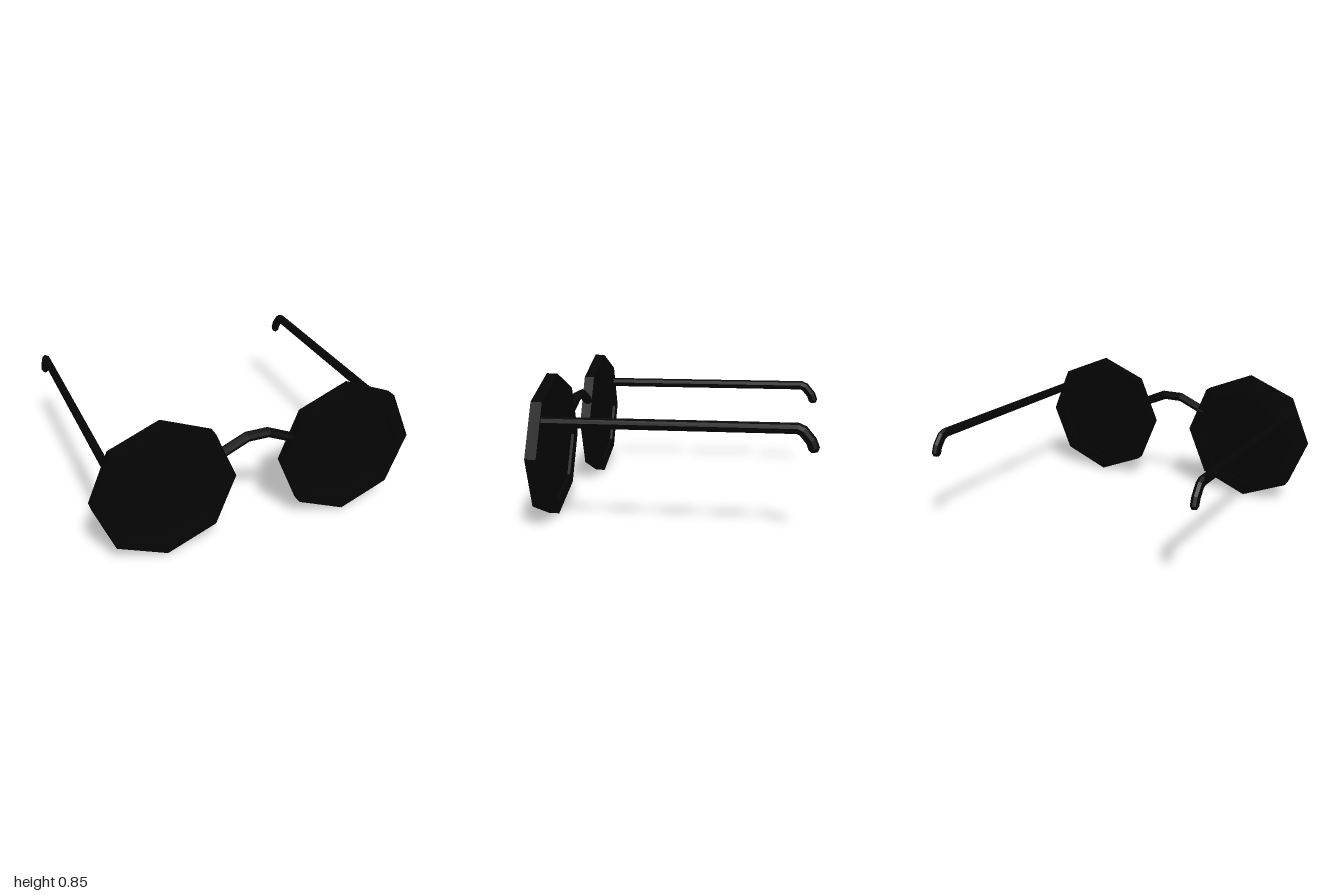
import * as THREE from 'three';

const material = new THREE.MeshStandardMaterial({ color: 0x050505, flatShading: true });

// Octagon with its corners on the axes
function octagon(radius, Type = THREE.Shape) {
  const points = [];
  for (let i = 0; i < 8; i++) {
    const a = (i * Math.PI) / 4;
    points.push(new THREE.Vector2(radius * Math.cos(a), radius * Math.sin(a)));
  }
  return new Type(points);
}

// Extruded shape centred on its own z
function slab(name, shape, depth) {
  const geometry = new THREE.ExtrudeGeometry(shape, { depth, bevelEnabled: false });
  geometry.translate(0, 0, -depth / 2);
  const mesh = new THREE.Mesh(geometry, material);
  mesh.name = name;
  return mesh;
}

// Mitred bar along a planar path; side is the normal of the path's plane.
// Each path entry is [x, y, z, scale]
function bar(name, path, side, halfWidth, halfHeight, sides = 8) {
  const pts = path.map((p) => new THREE.Vector3(p[0], p[1], p[2]));
  const positions = [];
  const index = [];
  pts.forEach((p, i) => {
    const before = p.clone().sub(pts[Math.max(i - 1, 0)]).normalize();
    const after = pts[Math.min(i + 1, pts.length - 1)].clone().sub(p).normalize();
    const tangent = before.clone().add(after).normalize();
    const mitre = 1 / Math.max(tangent.dot(i ? before : after), 0.5);
    const normal = tangent.clone().cross(side);
    const scale = path[i][3] ?? 1;
    for (let j = 0; j < sides; j++) {
      const a = (j / sides) * Math.PI * 2;
      const v = p.clone()
        .addScaledVector(side, halfWidth * scale * Math.cos(a))
        .addScaledVector(normal, halfHeight * scale * mitre * Math.sin(a));
      positions.push(v.x, v.y, v.z);
    }
  });
  const last = (pts.length - 1) * sides;
  for (let i = 0; i < last; i += sides) {
    for (let j = 0; j < sides; j++) {
      const a = i + j;
      const b = i + ((j + 1) % sides);
      index.push(a, b, b + sides, a, b + sides, a + sides);
    }
  }
  for (let j = 1; j < sides - 1; j++) {
    index.push(0, j + 1, j, last, last + j, last + j + 1);
  }
  const indexed = new THREE.BufferGeometry();
  indexed.setAttribute('position', new THREE.Float32BufferAttribute(positions, 3));
  indexed.setIndex(index);
  const geometry = indexed.toNonIndexed();
  geometry.computeVertexNormals();
  const mesh = new THREE.Mesh(geometry, material);
  mesh.name = name;
  return mesh;
}

export function createModel() {
  const group = new THREE.Group();
  group.name = 'sunglasses';

  for (const s of [-1, 1]) {
    const label = s > 0 ? 'left' : 'right';

    // Rim and lens, leaning slightly back
    const eyepiece = new THREE.Group();
    eyepiece.name = label + 'Eyepiece';
    const rimShape = octagon(0.426);
    rimShape.holes.push(octagon(0.34, THREE.Path));
    eyepiece.add(slab(label + 'Rim', rimShape, 0.065));
    eyepiece.add(slab(label + 'Lens', octagon(0.345), 0.03));
    eyepiece.position.set(s * 0.574, 0.43, 0.76);
    eyepiece.rotation.x = -0.018;
    group.add(eyepiece);

    // Temple arm with the bent ear tip
    const x = s * 0.88;
    group.add(bar(label + 'Temple', [
      [x, 0.62, 0.75],
      [x, 0.62, -0.69],
      [x, 0.607, -0.72],
      [x, 0.552, -0.765],
      [x, 0.51, -0.78],
      [x, 0.492, -0.783, 0.6],
    ], new THREE.Vector3(1, 0, 0), 0.025, 0.031));
  }

  // Arched bridge
  group.add(bar('bridge', [
    [-0.25, 0.562, 0.752],
    [-0.19, 0.59, 0.752],
    [-0.065, 0.645, 0.75],
    [0.065, 0.645, 0.75],
    [0.19, 0.59, 0.752],
    [0.25, 0.562, 0.752],
  ], new THREE.Vector3(0, 0, 1), 0.03, 0.03));

  return group;
}
